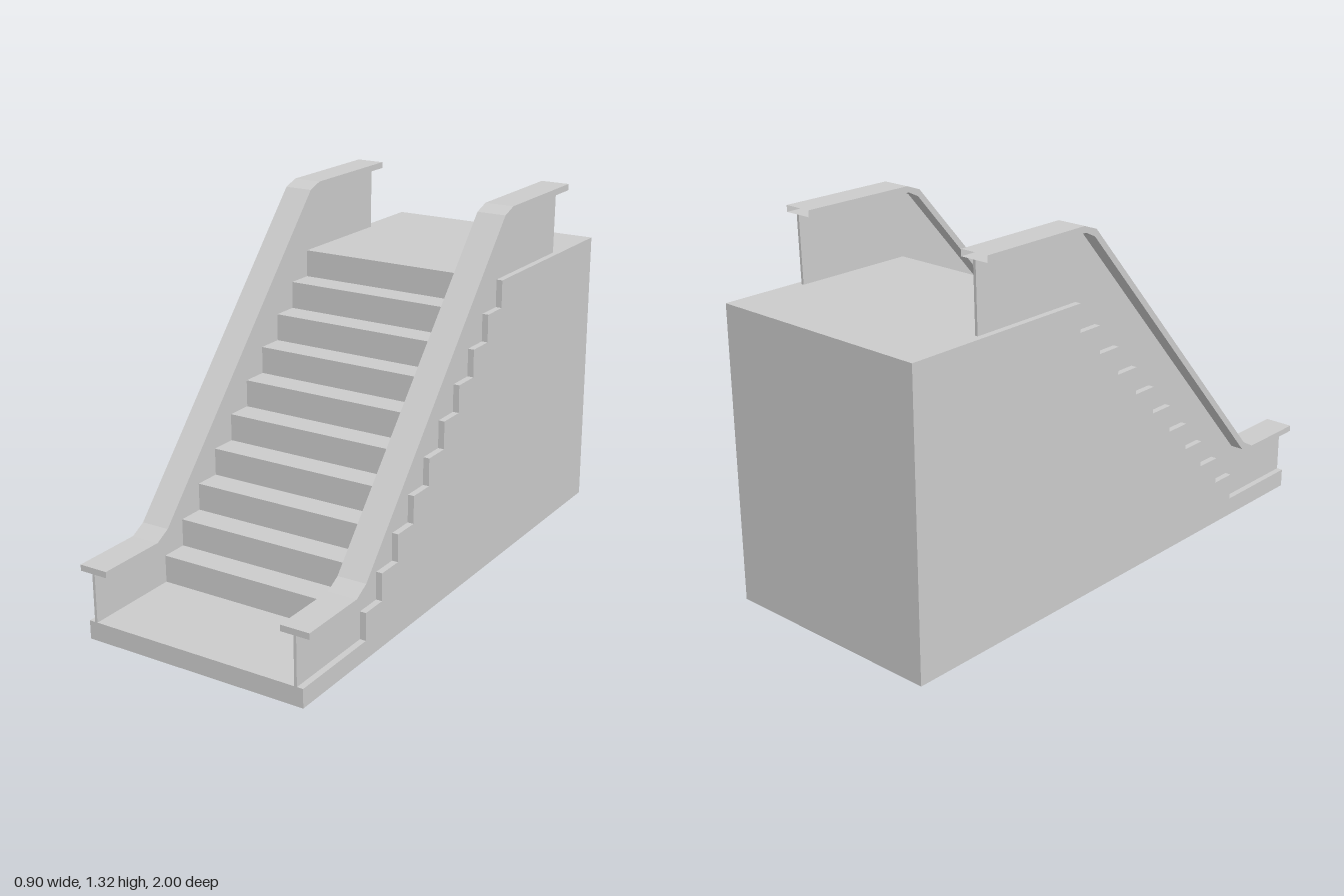
import * as THREE from 'three';

const material = new THREE.MeshStandardMaterial({ color: 0xcccccc, flatShading: true, side: THREE.DoubleSide });

// All outlines are lists of [z, y] points seen from the side.
const STEPS = 10, RISE = 0.099, RUN = 0.0992, FIRST_Z = 0.64, BASE_Y = 0.067;
const TOP_Y = BASE_Y + STEPS * RISE;
const LAST_Z = FIRST_Z - (STEPS - 1) * RUN;
const HALF = 0.4225;

function addMesh(group, name, geometry) {
  const mesh = new THREE.Mesh(geometry, material);
  mesh.name = name;
  group.add(mesh);
  return mesh;
}

// Open sheet that follows an outline, spanning x0 to x1
function sheet(points, x0, x1) {
  const pos = [];
  for (let i = 0; i < points.length - 1; i++) {
    const [za, ya] = points[i], [zb, yb] = points[i + 1];
    pos.push(x0, ya, za, x1, ya, za, x1, yb, zb, x0, ya, za, x1, yb, zb, x0, yb, zb);
  }
  const g = new THREE.BufferGeometry();
  g.setAttribute('position', new THREE.Float32BufferAttribute(pos, 3));
  g.computeVertexNormals();
  return g;
}

const outline = (points) => new THREE.Shape(points.map(([z, y]) => new THREE.Vector2(z, y)));

// Flat side face at a given x
function sideFace(points, x) {
  return new THREE.ShapeGeometry(outline(points)).rotateY(-Math.PI / 2).translate(x, 0, 0);
}

// Solid plate centred on a given x
function plate(points, x, thickness) {
  return new THREE.ExtrudeGeometry(outline(points), { depth: thickness, bevelEnabled: false })
    .rotateY(-Math.PI / 2).translate(x + thickness / 2, 0, 0);
}

export function createModel() {
  const model = new THREE.Group();
  model.name = 'staircase';

  // Hollow stair body, open underneath
  const profile = [[1, 0], [1, BASE_Y]];
  for (let i = 0; i < STEPS; i++) {
    const z = FIRST_Z - i * RUN, y = BASE_Y + i * RISE;
    profile.push([z, y], [z, y + RISE]);
  }
  profile.push([-1, TOP_Y], [-1, 0]);
  const body = new THREE.Group();
  body.name = 'stairBody';
  addMesh(body, 'stepsAndLanding', sheet(profile, -HALF, HALF));
  for (const s of [-1, 1]) {
    addMesh(body, s > 0 ? 'leftWall' : 'rightWall', sideFace(profile, s * HALF));
  }
  model.add(body);

  // Handrail top and underside lines
  const railTop = [[1, 0.262], [0.735, 0.262], [0.68, 0.292], [-0.21, 1.297], [-0.268, 1.318], [-0.71, 1.318]];
  const railUnder = [[1, 0.24], [0.73, 0.24], [0.67, 0.268], [-0.218, 1.274], [-0.262, 1.295], [-0.71, 1.295]];
  const railSide = [...railTop, ...[...railUnder].reverse()];

  // Balustrade panel reaches down to the inner corners of the steps
  const panel = [
    ...railUnder, [-0.705, TOP_Y], [LAST_Z - RUN, TOP_Y], [FIRST_Z, BASE_Y], [1, BASE_Y],
  ];

  for (const s of [-1, 1]) {
    const side = new THREE.Group();
    side.name = s > 0 ? 'leftBalustrade' : 'rightBalustrade';
    addMesh(side, 'panel', plate(panel, s * 0.395, 0.01));

    // Rail is a flat tube, closed at the front and open at the back
    const rail = new THREE.Group();
    rail.name = 'handrail';
    const x0 = s * 0.395 - 0.0535, x1 = s * 0.395 + 0.0535;
    addMesh(rail, 'railTop', sheet([railUnder[0], ...railTop], x0, x1));
    addMesh(rail, 'railUnderside', sheet([...railUnder].reverse(), x0, x1));
    for (const x of [x0, x1]) addMesh(rail, 'railEdge', sideFace(railSide, x));
    side.add(rail);
    model.add(side);
  }

  return model;
}
